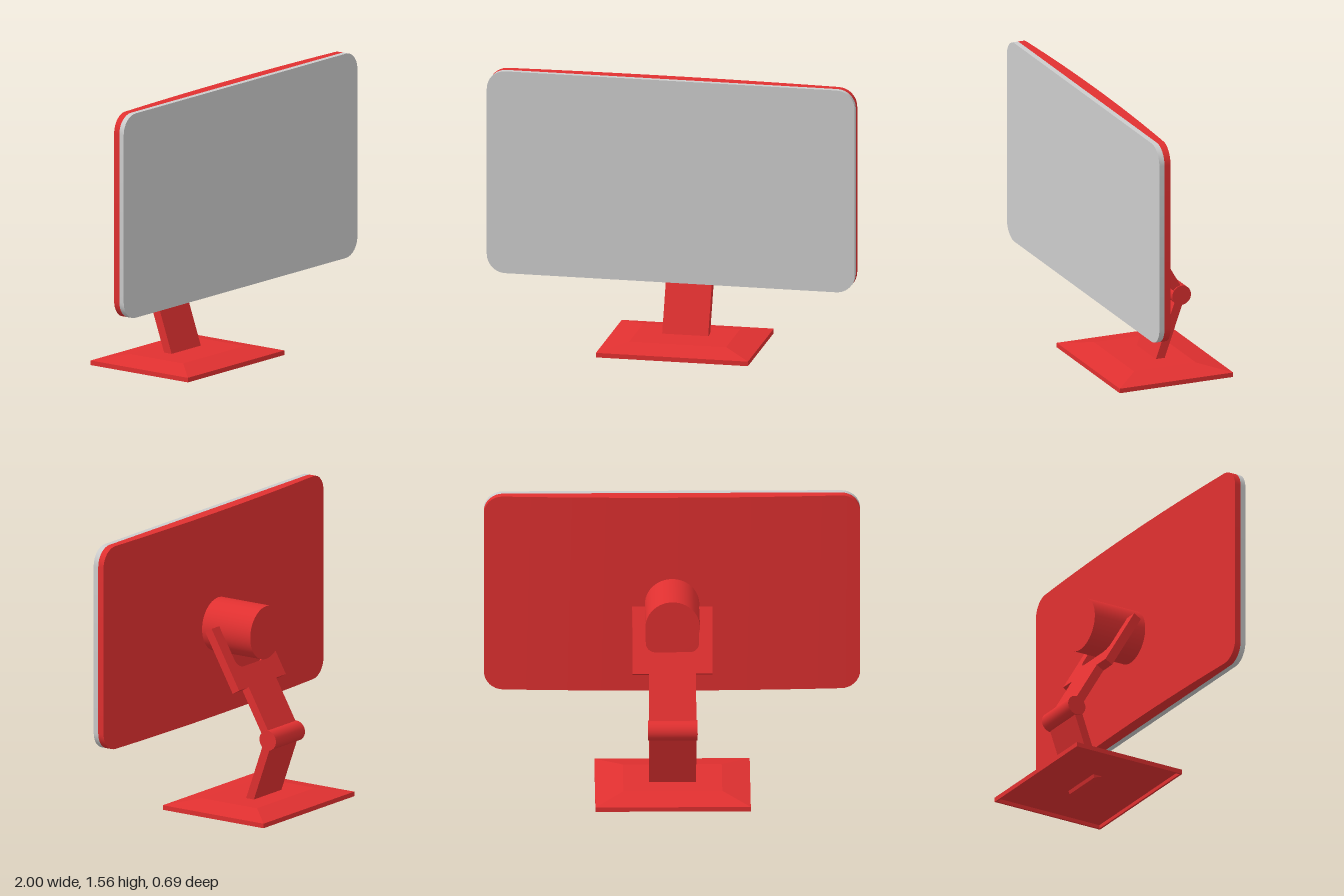
import * as THREE from 'three';
import { toCreasedNormals } from 'three/addons/utils/BufferGeometryUtils.js';

const red = new THREE.MeshStandardMaterial({ color: 0xe03030 });
const grey = new THREE.MeshStandardMaterial({ color: 0xcccccc });

// Rounded slab, 2 wide, built from upright columns; backZ(x) shapes its rear face
function screenSlab(frontZ, backZ) {
  const H = 0.5575, r = 0.1, corner = 8, straight = 24, n = corner * 2 + straight;
  const column = (i) => {
    if (i > n / 2) { const [x, h] = column(n - i); return [-x, h]; }
    if (i >= corner) return [(1 - r) * ((i - corner) / straight * 2 - 1), H];
    const a = i / corner * Math.PI / 2;
    return [-1 + r * (1 - Math.cos(a)), H - r + r * Math.sin(a)];
  };
  const geo = new THREE.BoxGeometry(2, 2, 2, n, 1, 1);
  const p = geo.attributes.position;
  for (let i = 0; i < p.count; i++) {
    const [x, h] = column(Math.round((p.getX(i) + 1) / 2 * n));
    p.setXYZ(i, x, Math.sign(p.getY(i)) * h, p.getZ(i) > 0 ? frontZ : backZ(x));
  }
  return toCreasedNormals(geo, 0.6);
}

// Rectangular foot: four-sided lathe, stretched in x, hollow underneath
function footGeometry() {
  const profile = [[0, 0.02], [0.32, 0.02], [0.32, 0], [0.33, 0], [0.33, 0.025], [0.18, 0.055], [0, 0.055]]
    .map(([r, y]) => new THREE.Vector2(r * Math.SQRT2, y));
  const geo = new THREE.LatheGeometry(profile, 4, Math.PI / 4).toNonIndexed();
  const p = geo.attributes.position;
  for (let i = 0; i < p.count; i++) p.setX(i, p.getX(i) + Math.sign(p.getX(i)) * 0.083);
  geo.computeVertexNormals();
  return geo;
}

// Flat upper arm widening into a two-pronged fork
function forkGeometry(thickness) {
  const arm = 0.125, outer = 0.213, inner = 0.142, top = 0.36, floor = 0.115, r = 0.05;
  const s = new THREE.Shape();
  s.moveTo(-arm, -0.3);
  s.lineTo(arm, -0.3);
  s.lineTo(arm, 0);
  s.lineTo(outer, 0);
  s.lineTo(outer, top);
  s.lineTo(inner, top);
  s.lineTo(inner, floor + r);
  s.absarc(inner - r, floor + r, r, 0, -Math.PI / 2, true);
  s.lineTo(-inner + r, floor);
  s.absarc(-inner + r, floor + r, r, -Math.PI / 2, -Math.PI, true);
  s.lineTo(-inner, top);
  s.lineTo(-outer, top);
  s.lineTo(-outer, 0);
  s.lineTo(-arm, 0);
  const geo = new THREE.ExtrudeGeometry(s, { depth: thickness, bevelEnabled: false, curveSegments: 8 });
  geo.translate(0, 0, -thickness / 2);
  return toCreasedNormals(geo, 0.6);
}

export function createModel() {
  const model = new THREE.Group();
  const add = (name, geo, mat, x, y, z) => {
    const mesh = new THREE.Mesh(geo, mat);
    mesh.name = name;
    mesh.position.set(x, y, z);
    model.add(mesh);
    return mesh;
  };

  // Display: flat front panel and gently bowed back shell
  add('screenPanel', screenSlab(0.345, () => 0.315), grey, 0, 1.0025, 0);
  add('screenBack', screenSlab(0.315, (x) => 0.25 + 0.03 * x * x), red, 0, 1.0025, 0);

  // Round mount behind the display
  const mount = new THREE.CylinderGeometry(0.145, 0.145, 0.325, 48).rotateX(Math.PI / 2);
  add('screenMount', mount, red, 0, 0.945, 0.0975);

  // Stand
  add('foot', footGeometry(), red, 0, 0, -0.015);
  const hinge = new THREE.CylinderGeometry(0.054, 0.054, 0.264, 32).rotateZ(Math.PI / 2);
  add('hinge', hinge, red, 0, 0.395, -0.17);
  add('forkArm', forkGeometry(0.048), red, 0, 0.655, -0.02).rotation.x = Math.PI / 6;

  // Lower arm leans from inside the foot back to the hinge
  const dy = 0.385, dz = -0.137;
  const lower = new THREE.BoxGeometry(0.25, Math.hypot(dy, dz), 0.048);
  add('lowerArm', lower, red, 0, 0.395 - dy / 2, -0.17 - dz / 2).rotation.x = Math.atan2(dz, dy);

  return model;
}
